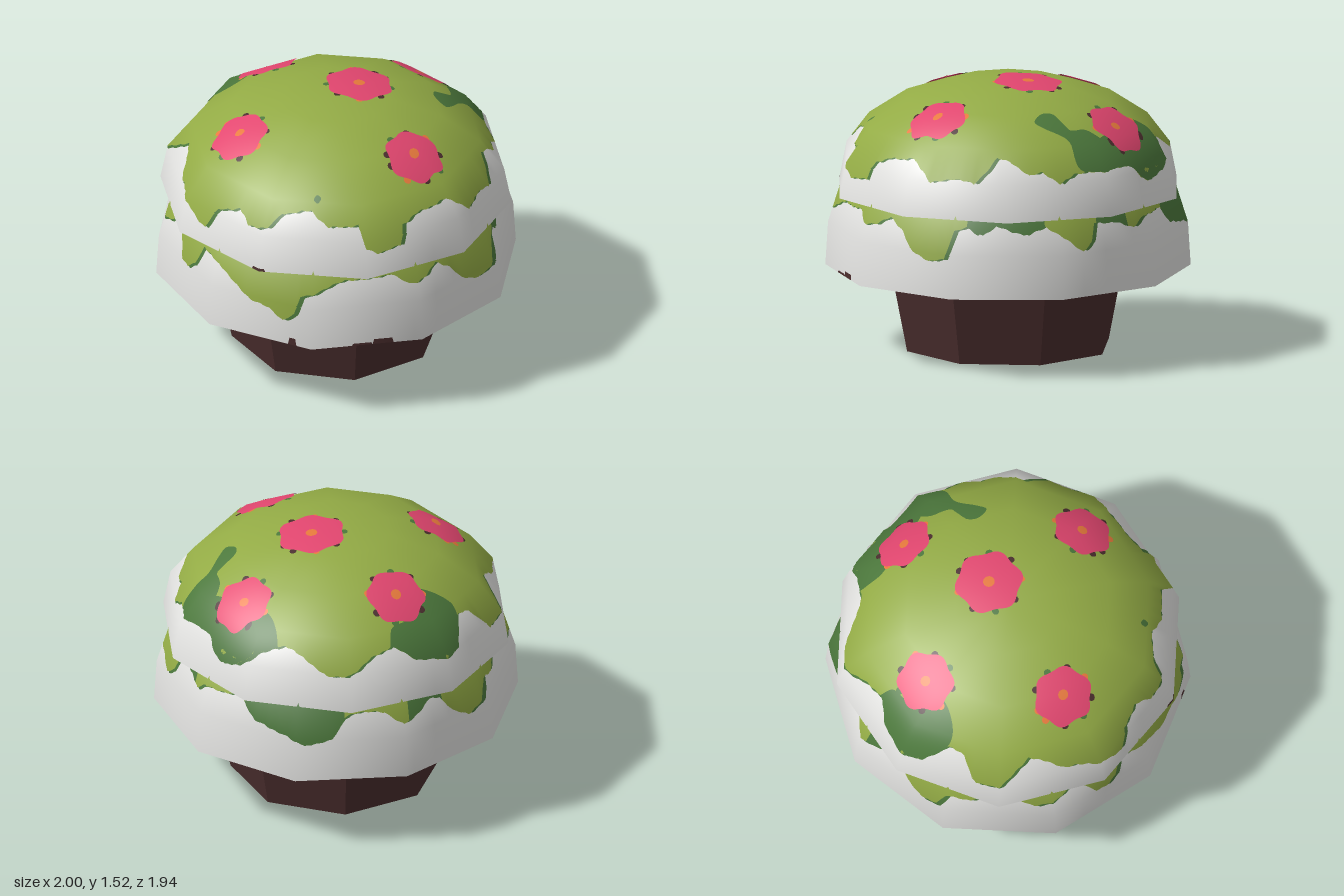
import * as THREE from 'three';

const DEG = Math.PI / 180, SIDES = 10, STEP = 2 * Math.PI / SIDES;

function paint(name, color) {
  const m = new THREE.MeshStandardMaterial({ color, side: THREE.DoubleSide });
  m.name = name;
  return m;
}
const M = {
  white: paint('white', 0xe3e3e1), green: paint('leaf green', 0x93ab45),
  dark: paint('dark green', 0x4c783c), pink: paint('pink', 0xe2466f),
  brown: paint('dark brown', 0x4a2d2d), orange: paint('orange', 0xe87a3c),
};

// Piecewise linear lookup in a list of [key, value] with rising keys
function lookup(list, k) {
  if (k <= list[0][0]) return list[0][1];
  for (let i = 1; i < list.length; i++) {
    const [a, u] = list[i - 1], [b, v] = list[i];
    if (k <= b) return u + (v - u) * (k - a) / (b - a);
  }
  return list[list.length - 1][1];
}

// Ten-sided dome surface: angle runs from +z to +x, t counts rings from rim to apex
function domeSurface(profile, turn) {
  const last = profile.length - 1;
  const facet = a => {
    const m = (((a - turn) % STEP) + STEP) % STEP;
    return Math.cos(STEP / 2) / Math.cos(m - STEP / 2);
  };
  const slopes = profile.map((p, i) => {
    if (i === last) return Math.PI / 2;
    const q = profile[Math.max(i - 1, 0)], s = profile[i + 1];
    return Math.atan2(q[0] - s[0], s[1] - q[1]);
  });
  const mix = (t, f) => {
    const i = Math.min(Math.floor(t), last - 1);
    return f(i) + (f(i + 1) - f(i)) * (t - i);
  };
  return {
    last, facet,
    tOfY: y => lookup(profile.map((p, i) => [p[1], i]), y),
    tOfR: r => lookup(profile.map((p, i) => [p[0], i]).reverse(), r),
    at(a, t, lift = 0) {
      const r = mix(t, i => profile[i][0]) * facet(a), y = mix(t, i => profile[i][1]);
      const e = mix(t, i => slopes[i]);
      const n = [Math.sin(a) * Math.cos(e), Math.sin(e), Math.cos(a) * Math.cos(e)];
      return { p: [r * Math.sin(a) + n[0] * lift, y + n[1] * lift, r * Math.cos(a) + n[2] * lift], n };
    },
  };
}

function meshFrom(name, verts, index, material) {
  const g = new THREE.BufferGeometry();
  g.setAttribute('position', new THREE.Float32BufferAttribute(verts.flatMap(v => v.p), 3));
  g.setAttribute('normal', new THREE.Float32BufferAttribute(verts.flatMap(v => v.n), 3));
  g.setIndex(index);
  const mesh = new THREE.Mesh(g, material);
  mesh.name = name;
  return mesh;
}

// Strip of the dome between two edge functions of the angle in degrees
function strip(name, dome, low, high, material) {
  const verts = [], index = [], cols = 720;
  for (let c = 0; c < cols; c++) {
    const d0 = -180 + c * 360 / cols, d1 = d0 + 360 / cols;
    for (let k = 0; k < dome.last; k++) {
      const clip = t => Math.min(k + 1, Math.max(k, t));
      const l0 = clip(low(d0)), l1 = clip(low(d1)), h0 = clip(high(d0)), h1 = clip(high(d1));
      if (h0 - l0 < 1e-5 && h1 - l1 < 1e-5) continue;
      const n = verts.length;
      verts.push(dome.at(d0 * DEG, l0), dome.at(d1 * DEG, l1), dome.at(d1 * DEG, h1), dome.at(d0 * DEG, h0));
      index.push(n, n + 1, n + 2, n, n + 2, n + 3);
    }
  }
  return meshFrom(name, verts, index, material);
}

// Thin patch laid on the dome: outline of [x, z] points around a centre
function patch(name, dome, center, outline, lift, material, edge) {
  const area = outline.reduce((s, [x, z], i) => {
    const [u, w] = outline[(i + 1) % outline.length];
    return s + x * w - u * z;
  }, 0);
  const pts = area > 0 ? [...outline].reverse() : outline;
  const verts = [], index = [], rings = 8, n = pts.length;
  for (let i = 0; i <= rings; i++) for (const [px, pz] of pts) {
    const x = center[0] + (px - center[0]) * i / rings, z = center[1] + (pz - center[1]) * i / rings;
    const a = Math.atan2(x, z);
    let t = dome.tOfR(Math.hypot(x, z) / dome.facet(a));
    if (edge) t = Math.max(t, edge(a / DEG));
    verts.push(dome.at(a, t, lift));
  }
  for (let i = 0; i < rings; i++) for (let j = 0; j < n; j++) {
    const k = (j + 1) % n, a = i * n + j, b = i * n + k;
    index.push(a, a + n, b + n, a, b + n, b);
  }
  return meshFrom(name, verts, index, material);
}

// Rounded outline through a few [x, z] points
function blob(points) {
  const c = new THREE.CatmullRomCurve3(points.map(([x, z]) => new THREE.Vector3(x, 0, z)), true);
  return c.getPoints(64).slice(0, -1).map(v => [v.x, v.z]);
}

// Round outline squeezed towards the apex so that it follows the slope
function disc(cx, cz, radius, squeeze, ripple = () => 1) {
  const len = Math.hypot(cx, cz), ux = cx / len, uz = cz / len;
  return Array.from({ length: 60 }, (_, i) => {
    const f = i * 6 * DEG, r = radius * ripple(f);
    const u = r * Math.cos(f) * squeeze, v = r * Math.sin(f);
    return [cx + ux * u - uz * v, cz + uz * u + ux * v];
  });
}

// One shell with a dripping leaf covering, shadowed drips and rim specks
function shell(name, dome, drips, darkSpans, specks) {
  const g = new THREE.Group();
  g.name = name;
  const table = [[drips[drips.length - 1][0] - 360, drips[drips.length - 1][1]], ...drips, [drips[0][0] + 360, drips[0][1]]];
  const rim = dome.tOfY(0);
  const edge = d => dome.tOfY(lookup(table, d < -180 ? d + 360 : d) + 0.006 * Math.sin(d * 1.0) * Math.sin(d * 0.45));
  const shade = d => Math.min(edge(d), edge(d - 1.6));
  const leaf = d => darkSpans.some(([a, b]) => d > a && d < b) ? Math.max(edge(d), 2) : edge(d);
  const speck = d => specks.reduce((s, [a, b, h]) => d > a && d < b ? h : s, rim);
  g.add(strip('rimSpecks', dome, () => 0, speck, M.brown));
  g.add(strip('whiteShell', dome, speck, shade, M.white));
  g.add(strip('leafShadow', dome, shade, leaf, M.dark));
  g.add(strip('leafCover', dome, leaf, () => dome.last, M.green));
  g.userData.edge = edge;
  return g;
}

export function createModel() {
  const model = new THREE.Group();
  model.name = 'flowerCake';

  // Eight-sided tapering base
  const potGeo = new THREE.CylinderGeometry(0.76, 0.58, 0.9, 8).toNonIndexed();
  potGeo.computeVertexNormals();
  const pot = new THREE.Mesh(potGeo, M.brown);
  pot.name = 'base';
  pot.position.y = 0.45;
  model.add(pot);

  // Lower shell
  const lower = domeSurface([[1, 0.45], [0.985, 0.69], [0.9, 0.96], [0.66, 1.18], [0.35, 1.32], [0, 1.37]], STEP / 2);
  model.add(shell('lowerShell', lower, [
    [-177, .84], [-168, .83], [-162, .76], [-158, .78], [-152, .84], [-146, .82], [-141, .72], [-135, .66], [-129, .71],
    [-126, .82], [-118, .79], [-112, .84], [-104, .83], [-96, .77], [-90, .8], [-84, .84], [-78, .8], [-74, .69], [-70, .67],
    [-66, .72], [-63, .84], [-53, .82], [-46, .73], [-40, .67], [-33, .64], [-28, .59], [-24, .64], [-22, .75], [-14, .8],
    [-7, .84], [0, .83], [9, .85], [15, .79], [22, .8], [27, .85], [33, .78], [37, .7], [45, .64], [51, .67],
    [54, .82], [58, .84], [62, .8], [67, .85], [78, .8], [85, .85], [93, .76], [98, .7], [102, .74], [104, .84],
    [112, .83], [120, .79], [125, .84], [140, .84], [146, .74], [158, .71], [165, .67], [172, .69], [177, .81],
  ], [[58, 85], [105, 118], [141, 178], [-160, -145]], [[-26, -23, 0.17], [-5, 2, 0.05], [2, 9, 0.12]]));

  // Upper shell, turned by half a side
  const upper = domeSurface([[0.97, 0.88], [0.93, 1.08], [0.8, 1.25], [0.58, 1.395], [0.3, 1.48], [0, 1.51]], 0);
  const top = shell('upperShell', upper, [
    [-173, 1.14], [-163, 1.18], [-155, 1.1], [-144, 1.07], [-138, 1.08], [-130, 1.2], [-122, 1.18], [-116, 1.04],
    [-108, 1.08], [-103, 1.13], [-97, 1.2], [-90, 1.15], [-84, 1.1], [-76, 1.09], [-71, 1.06], [-66, 1.0], [-62, .98],
    [-58, 1.1], [-49, 1.15], [-43, 1.1], [-35, 1.12], [-31, 1.19], [-20, 1.21], [-13, 1.14], [-2, 1.16], [0, 1.05],
    [4, 1.01], [13, 1.02], [15, 1.12], [21, 1.15], [35, 1.18], [40, 1.13], [44, 1.07], [52, 1.1], [60, 1.08],
    [64, 1.14], [68, 1.21], [73, 1.2], [80, 1.12], [85, 1.14], [91, 1.07], [97, 1.12], [109, 1.12], [123, 1.12],
    [127, 1.04], [131, 1.02], [138, 1.05], [145, 1.14], [155, 1.19], [165, 1.13], [172, 1.07], [180, 1.09],
  ], [], [[-39, -34, 0.08]]);
  model.add(top);

  // Dark leaf patches on the upper shell
  const edge = top.userData.edge;
  top.userData = {};
  [
    [[-.45, -.66], [[-.25, -.84], [-.24, -.72], [-.36, -.64], [-.38, -.5], [-.46, -.46], [-.6, -.48], [-.64, -.6], [-.58, -.75], [-.4, -.9]]],
    [[.6, -.6], [[.4, -.62], [.4, -.78], [.6, -.8], [.8, -.6], [.85, -.3], [.7, -.3], [.6, -.4], [.5, -.5]]],
    [[.7, -.16], [[.55, -.02], [.56, -.08], [.66, -.14], [.66, -.26], [.72, -.34], [.86, -.3], [.84, -.14], [.72, -.11], [.64, 0], [.6, .04]]],
    [[-.23, .71], [[-.25, .71], [-.23, .73], [-.21, .71], [-.23, .69]]],
  ].forEach(([c, pts]) => top.add(patch('darkLeafPatch', upper, c, blob(pts), 0.004, M.dark, edge)));

  // Flowers: scalloped pink disc, orange heart, dark and orange flecks at the rim
  [[.14, -.07, .185, 1], [-.28, -.54, .165, .88], [.54, -.44, .165, .78], [-.56, .16, .165, .88], [.34, .51, .165, .88]]
    .forEach(([x, z, r, squeeze], f) => {
      const flower = new THREE.Group();
      flower.name = 'flower';
      const petals = a => 0.96 + 0.06 * Math.cos(6 * a + f);
      flower.add(patch('petals', upper, [x, z], disc(x, z, r, squeeze, petals), 0.008, M.pink));
      flower.add(patch('heart', upper, [x, z], disc(x, z, r * 0.17, squeeze), 0.0095, M.orange));
      const ring = disc(x, z, r * 0.96, squeeze);
      for (let i = 0; i < 9; i++) {
        const [px, pz] = ring[(i * 7 + f * 5) % 60];
        const color = [M.brown, M.dark, M.brown, M.orange][(i + f) % 4];
        flower.add(patch('rimFleck', upper, [px, pz], disc(px, pz, 0.02, 0.9), 0.006, color));
      }
      top.add(flower);
    });
  return model;
}
